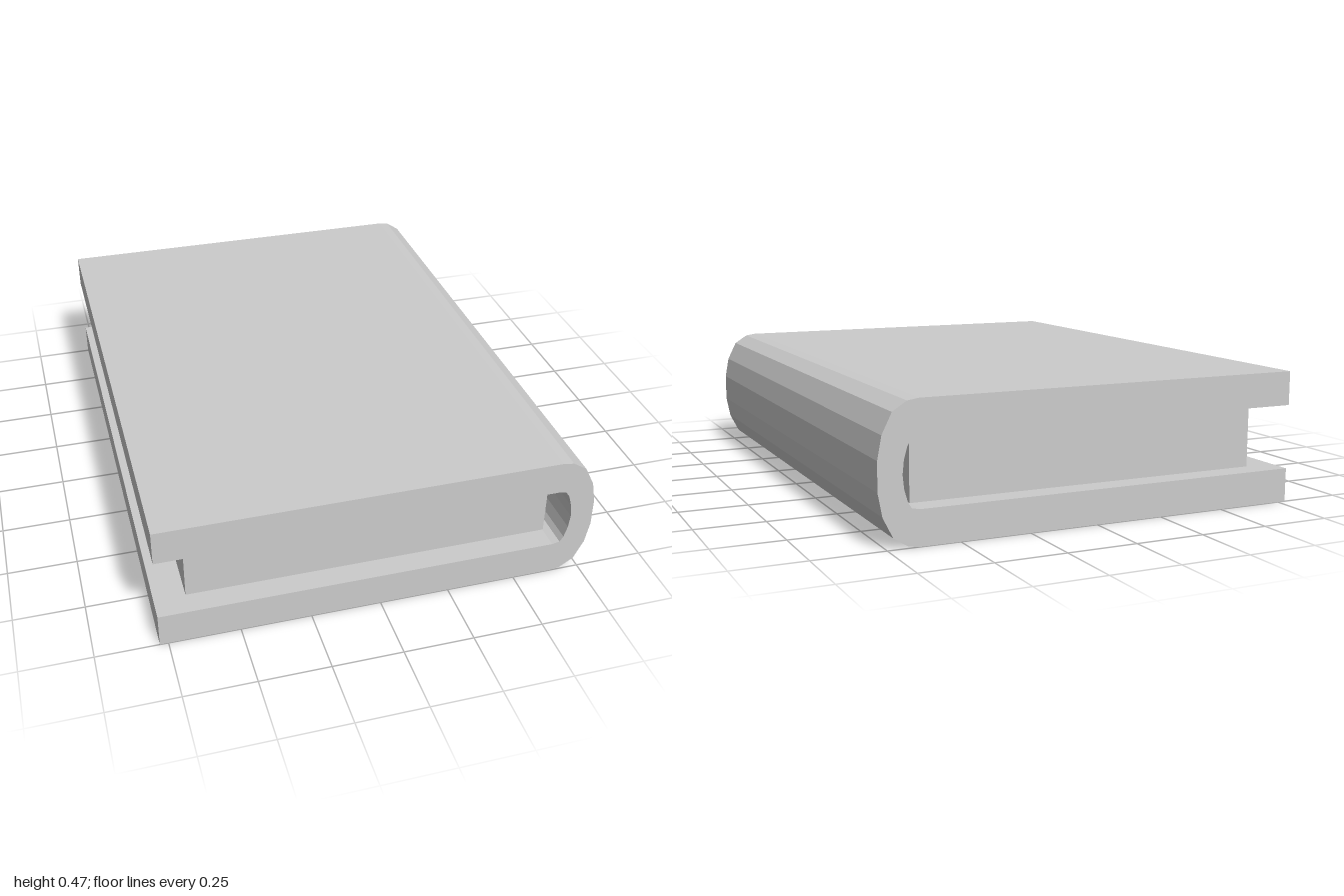
import * as THREE from 'three';

const HEIGHT = 0.475, BOARD = 0.122, LENGTH = 2;

// Upper halves of the spine curve, from the cover board towards mid-height
const OUTER = [[0.64, 0.475], [0.68, 0.469], [0.73, 0.437], [0.765, 0.367], [0.78, 0.288]];
const INNER = [[0.64, 0.353], [0.667, 0.347], [0.68, 0.327], [0.692, 0.285], [0.697, 0.2375]];

// Mirror a half curve about mid-height to make the full bend, top to bottom
function bend(half) {
  const lower = half.filter(([, y]) => y !== HEIGHT / 2).map(([x, y]) => [x, HEIGHT - y]).reverse();
  return [...half, ...lower];
}

export function createModel() {
  const group = new THREE.Group();
  group.name = 'book';
  const material = new THREE.MeshStandardMaterial({ color: 0xcccccc, flatShading: true });

  // Cover: two boards joined by the rounded spine, one wrapped profile
  const left = -0.78;
  const outline = [
    [left, HEIGHT], ...bend(OUTER), [left, 0], [left, BOARD],
    ...bend(INNER).reverse(), [left, HEIGHT - BOARD],
  ];
  const shape = new THREE.Shape(outline.map(([x, y]) => new THREE.Vector2(x, y)));
  const coverGeometry = new THREE.ExtrudeGeometry(shape, { depth: LENGTH, bevelEnabled: false });
  coverGeometry.translate(0, 0, -LENGTH / 2);
  const cover = new THREE.Mesh(coverGeometry, material);
  cover.name = 'cover';
  group.add(cover);

  // Page block, set back from the cover edges on three sides
  const pages = new THREE.Mesh(
    new THREE.BoxGeometry(1.312, HEIGHT - 2 * BOARD, LENGTH - 0.17), material);
  pages.position.set(-0.014, HEIGHT / 2, 0);
  pages.name = 'pages';
  group.add(pages);

  return group;
}
